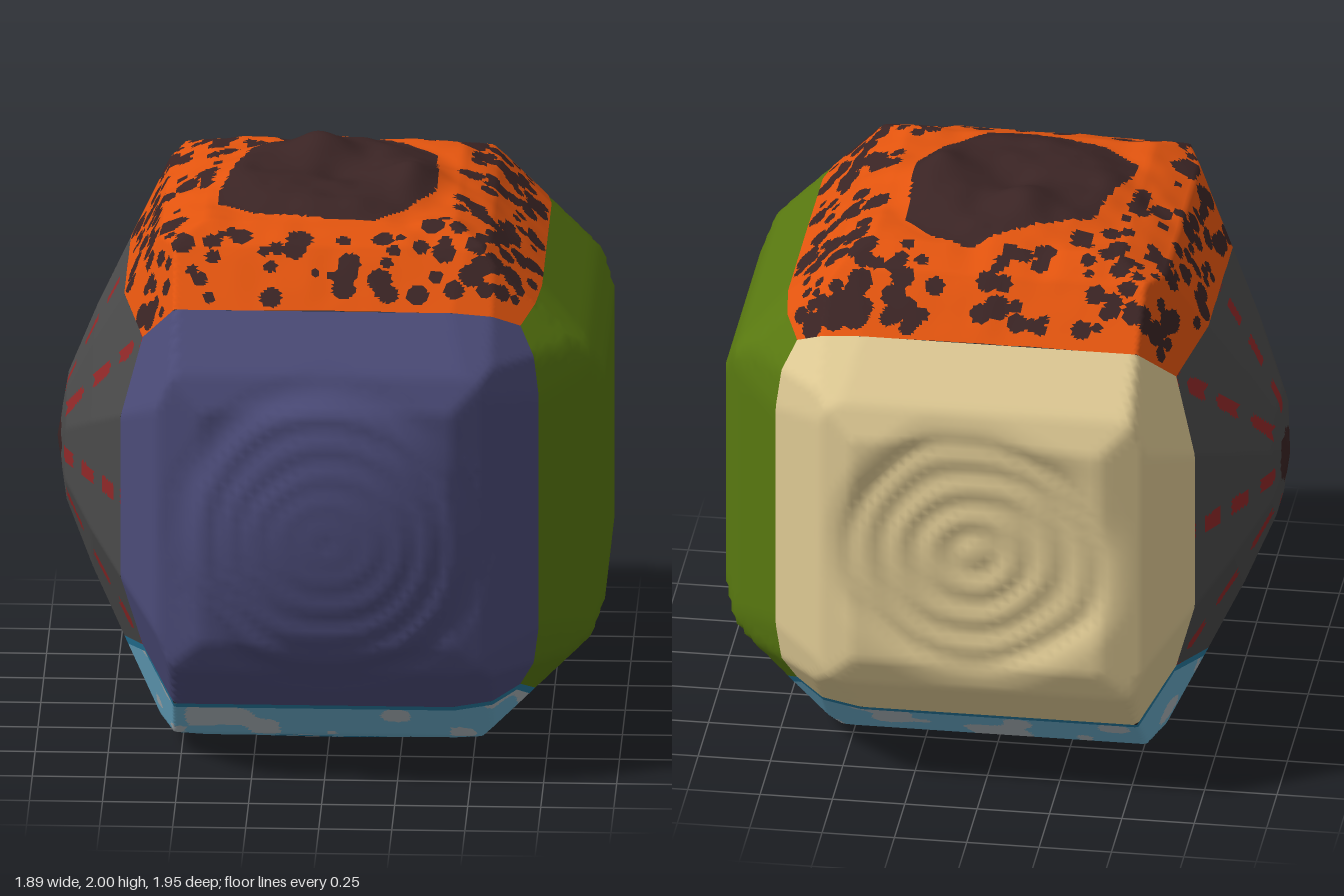
import * as THREE from 'three';

const CENTRE = new THREE.Vector3(0.015, 0.955, -0.05);
const LEAN = 1.16; // the -x panel is narrower than the other five

const mat = (name, color) => Object.assign(new THREE.MeshStandardMaterial({ color }), { name });

// Seeded random numbers and smooth value noise
function seeded(s) {
  return () => (s = (s * 16807) % 2147483647) / 2147483647;
}
function hash(x, y, z) {
  const s = Math.sin(x * 127.1 + y * 311.7 + z * 74.7) * 43758.5453;
  return s - Math.floor(s);
}
function noise(x, y, z) {
  const i = [x, y, z].map(Math.floor);
  const f = [x - i[0], y - i[1], z - i[2]].map((t) => t * t * (3 - 2 * t));
  let sum = 0;
  for (let k = 0; k < 8; k++) {
    const c = [k & 1, (k >> 1) & 1, k >> 2];
    const w = c.reduce((p, b, j) => p * (b ? f[j] : 1 - f[j]), 1);
    sum += w * hash(i[0] + c[0], i[1] + c[1], i[2] + c[2]);
  }
  return sum;
}
const smooth = THREE.MathUtils.smoothstep;

// Bevel profiles, turned into lines a*x + b*y = c
function lines(points) {
  return points.slice(1).map(([x, y], i) => {
    const a = points[i][1] - y, b = x - points[i][0];
    return [a, b, a * x + b * y];
  });
}
const regular = lines([[0, 0.93], [0.42, 0.93], [0.575, 0.865], [0.715, 0.715], [0.865, 0.575], [0.93, 0.42], [0.93, 0]]);
const domed = lines([[0, 0.93], [0.435, 0.93], [0.59, 0.865], [0.72, 0.62], [0.83, 0.41], [0.925, 0.2], [0.96, 0]]);

// Distance from the centre to the bevelled body along a direction
function reach(d) {
  const x = Math.abs(d.x), y = Math.abs(d.y), z = Math.abs(d.z);
  let r = Infinity;
  const cut = (set, p, q) => {
    for (const [a, b, c] of set) {
      const k = a * p + b * q;
      if (k > 1e-6) r = Math.min(r, c / k);
    }
  };
  cut(regular, y, z);
  if (d.x < 0) {
    cut(domed, x, y);
    cut(domed, x, z);
    cut(domed.slice(2), x, (y + z) * 0.68);
  } else {
    cut(regular, x, y);
    cut(regular, x, z);
    r = Math.min(r, 1.95 / (x + y + z));
    for (const low of [x, y, z]) r = Math.min(r, 1.538 / (x + y + z - low * 0.742));
  }
  return r;
}

const AXES = {
  front: [[0, 0, 1], [1, 0, 0], [0, 1, 0]],
  back: [[0, 0, -1], [-1, 0, 0], [0, 1, 0]],
  left: [[1, 0, 0], [0, 1, 0], [0, 0, 1]],
  right: [[-1, 0, 0], [0, 0, 1], [0, 1, 0]],
  top: [[0, 1, 0], [0, 0, 1], [1, 0, 0]],
  bottom: [[0, -1, 0], [1, 0, 0], [0, 0, 1]],
};

function surfacePoint(side, u, v, relief) {
  const [n, a, b] = AXES[side].map((t) => new THREE.Vector3(...t));
  const d = n.clone().addScaledVector(a, u).addScaledVector(b, v);
  if (side === 'right') { d.y /= LEAN; d.z /= LEAN; }
  else if (d.x < 0) d.x *= LEAN;
  d.multiplyScalar(reach(d));
  return relief ? d.addScaledVector(n, relief(d)) : d;
}

// One panel: a bevelled grid with relief, each triangle given a material by paint(point, u, v)
function panel(name, side, n, materials, relief, paint = () => 0) {
  const pos = [], uv = [], buckets = materials.map(() => []);
  for (let j = 0; j <= n; j++) {
    for (let i = 0; i <= n; i++) {
      const u = (i / n) * 2 - 1, v = (j / n) * 2 - 1;
      pos.push(surfacePoint(side, u, v, relief));
      uv.push([u, v]);
    }
  }
  const add = (...t) => {
    const c = new THREE.Vector3();
    t.forEach((i) => c.addScaledVector(pos[i], 1 / 3));
    const mean = (k) => t.reduce((s, i) => s + uv[i][k] / 3, 0);
    buckets[paint(c, mean(0), mean(1))].push(...t);
  };
  for (let j = 0; j < n; j++) {
    for (let i = 0; i < n; i++) {
      const p = j * (n + 1) + i, q = p + n + 1;
      if ((i + j) % 2) { add(p, p + 1, q + 1); add(p, q + 1, q); }
      else { add(p, p + 1, q); add(p + 1, q + 1, q); }
    }
  }
  const geo = new THREE.BufferGeometry().setFromPoints(pos);
  geo.setIndex(buckets.flat());
  let start = 0;
  buckets.forEach((b, m) => { geo.addGroup(start, b.length, m); start += b.length; });
  geo.computeVertexNormals();
  const mesh = new THREE.Mesh(geo, materials);
  mesh.name = name;
  return mesh;
}

// Irregular outline of the rock mound, as x, z
const MOUND = [[-0.02, -0.36], [0.09, -0.43], [0.23, -0.37], [0.33, -0.27], [0.345, 0.05], [0.34, 0.15],
  [0.25, 0.3], [0.14, 0.41], [-0.02, 0.41], [-0.26, 0.36], [-0.4, 0.25], [-0.395, 0.13], [-0.34, -0.08], [-0.31, -0.23]];
function inMound(x, z) {
  let inside = false;
  MOUND.forEach(([ax, az], i) => {
    const [bx, bz] = MOUND[(i + 1) % MOUND.length];
    if (az > z !== bz > z && x < ((bx - ax) * (z - az)) / (bz - az) + ax) inside = !inside;
  });
  return inside;
}

export function createModel() {
  const violet = mat('violet', 0x4b4b78), green = mat('green', 0x587810), sand = mat('sand', 0xdfca94);
  const orange = mat('lavaOrange', 0xe2540e), rock = mat('darkRock', 0x3a2424), grey = mat('charcoal', 0x4a4a4a);
  const red = mat('red', 0x902828), teal = mat('teal', 0x267a9f), blue = mat('iceBlue', 0x68a9c6), pale = mat('paleGrey', 0xaab3b8);
  const group = new THREE.Group();
  group.name = 'sixSidedPlanet';

  // Violet front: a shallow dome with terraced rings
  const frontRelief = (p) => {
    const r = Math.hypot(p.x, p.y + 0.03) + 0.03 * (noise(p.x * 5, p.y * 5, 3) - 0.5);
    const s = r / 0.1, step = (Math.floor(s) + smooth(s % 1, 0.4, 1)) * 0.1;
    return 0.095 * Math.max(0, 1 - (step / 0.52) ** 2) - 0.012 * Math.exp(-(((r - 0.53) / 0.03) ** 2));
  };
  // Sand back: a rippled shallow bowl
  const backRelief = (p) => {
    const r = Math.hypot(p.x, p.y) + 0.04 * (noise(p.x * 5, p.y * 5, 8) - 0.5);
    const bowl = 1 - smooth(r, 0.4, 0.54);
    return bowl * (-0.035 + 0.007 * Math.sin(r * 55));
  };
  group.add(panel('violetFront', 'front', 70, [violet], frontRelief));
  group.add(panel('sandBack', 'back', 70, [sand], backRelief));
  group.add(panel('greenSide', 'left', 40, [green]));

  // Charcoal side: dark core with eight dashed red rays
  const rays = (p, u, v) => {
    if (Math.hypot(p.y, p.z) < 0.085 + 0.03 * noise(p.y * 25, p.z * 25, 1)) return 2;
    const m = Math.max(Math.abs(u), Math.abs(v));
    const angle = Math.atan2(v, u), off = angle - Math.round(angle / (Math.PI / 4)) * (Math.PI / 4);
    const across = Math.abs(Math.sin(off)) * Math.hypot(u, v);
    const along = (((m - 0.07) % 0.27) + 0.27) % 0.27;
    const width = (0.022 + 0.028 * m) * (0.75 + 0.5 * noise(p.y * 20, p.z * 20, 4));
    return m > 0.2 && along > 0.11 && across < width ? 1 : 0;
  };
  group.add(panel('charcoalSide', 'right', 120, [grey, red, rock], null, rays));

  // Lava top: rock mound with two peaks and scattered rock spots
  const bump = (p, x, z, w) => Math.exp(-((p.x - x) ** 2 + (p.z - z) ** 2) / (w * w));
  const topRelief = (p) => {
    const r = Math.hypot(p.x + 0.02, p.z);
    const mound = 0.045 * (1 - smooth(r, 0.28, 0.46));
    const rough = 0.014 * noise(p.x * 12, p.z * 12, 5) * (1 - smooth(r, 0.6, 0.8));
    return mound + rough + 0.062 * bump(p, -0.07, -0.18, 0.11) + 0.045 * bump(p, 0.25, 0.05, 0.1) - 0.025 * bump(p, 0, 0.02, 0.09);
  };
  const rand = seeded(4711), spots = [];
  while (spots.length < 290) {
    const u = (rand() * 2 - 1) * 0.93, v = (rand() * 2 - 1) * 0.93;
    const c = surfacePoint('top', u, v, topRelief);
    const size = 0.016 + 0.03 * rand();
    if (!inMound(c.x * 0.83, c.z * 0.83)) spots.push([c, size * size]);
  }
  const lava = (p) => (inMound(p.x, p.z) || spots.some(([c, s]) => c.distanceToSquared(p) < s) ? 1 : 0);
  group.add(panel('lavaTop', 'top', 140, [orange, rock], topRelief, lava));

  // Icy bottom: teal rim, pale floes and a pale central plate
  const bottomRelief = (p) => 0.025 * Math.max(0, 1 - Math.hypot(p.x, p.z) / 0.5);
  const ice = (p, u, v) => {
    const x = Math.abs(p.x), z = Math.abs(p.z);
    const plate = Math.max(x, z, (x + z) * 0.74) + 0.05 * (noise(p.x * 7, p.z * 7, 2) - 0.5);
    if (plate < 0.42) return 2;
    if (plate < 0.45 || Math.max(Math.abs(u), Math.abs(v)) > 0.945) return 0;
    return noise(p.x * 9 + 20, p.y * 9 + 20, p.z * 9 + 20) > 0.59 ? 2 : 1;
  };
  group.add(panel('icyBottom', 'bottom', 140, [teal, blue, pale], bottomRelief, ice));

  group.children.forEach((m) => m.position.copy(CENTRE));
  return group;
}
